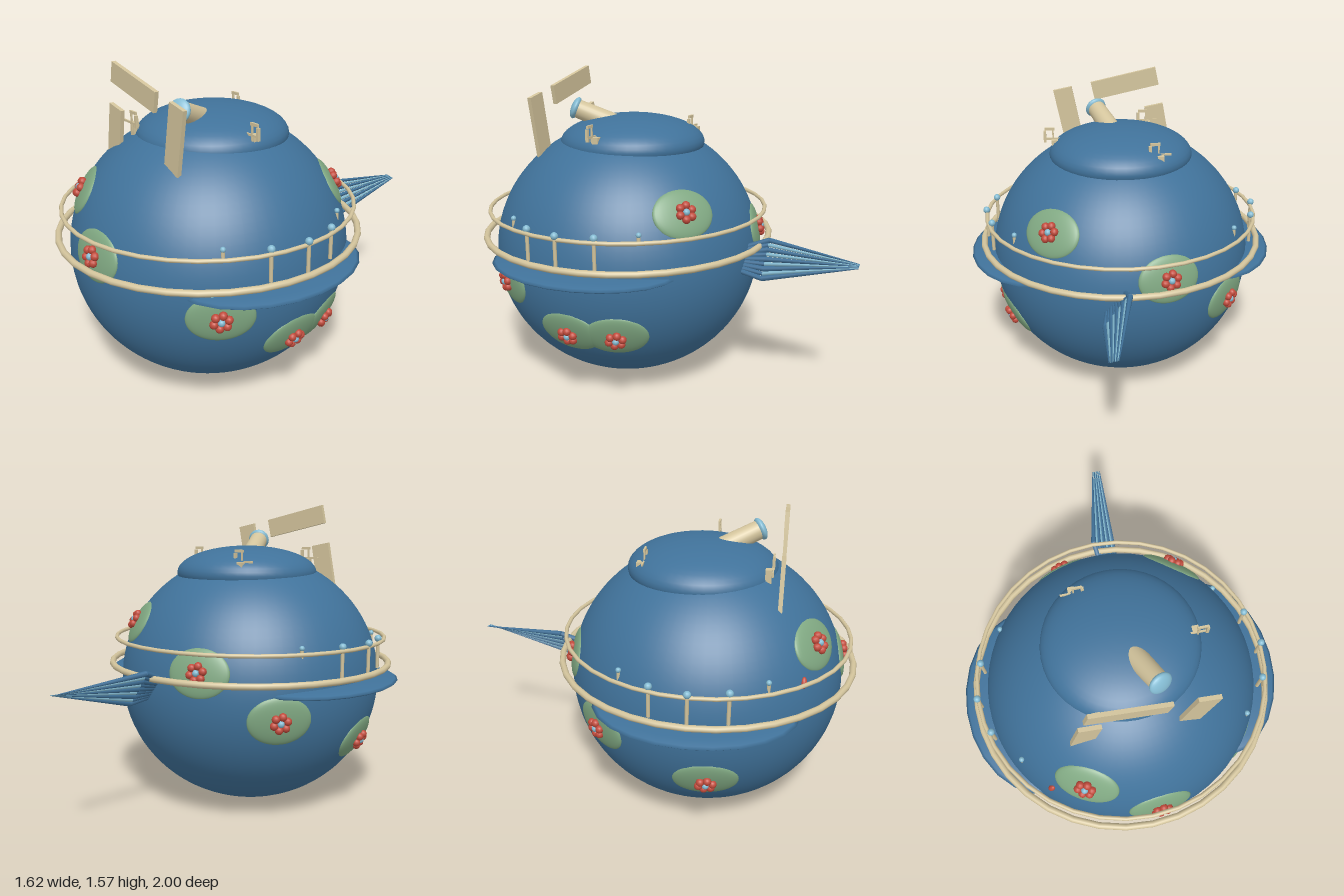
import * as THREE from 'three';

const mat = (name, color) => Object.assign(new THREE.MeshStandardMaterial({ color }), { name });

export function createModel() {
  const blue = mat('hull blue', 0x40729a);
  const green = mat('moss green', 0x80a882);
  const red = mat('berry red', 0xc24b3c);
  const cream = mat('cream', 0xd3c49c);
  const sky = mat('pale blue', 0x84bbd2);

  const model = new THREE.Group();
  model.name = 'floatingGlobe';
  const CZ = 0.24, R = 0.69, RY = 0.66;

  const add = (name, geo, material, x = 0, y = 0, z = 0, parent = model) => {
    const m = new THREE.Mesh(geo, material);
    m.name = name;
    m.position.set(x, y, z);
    parent.add(m);
    return m;
  };
  const ellipsoid = (rx, ry, rz, w = 24, h = 16) => new THREE.SphereGeometry(1, w, h).scale(rx, ry, rz);
  const box = (w, h, d) => new THREE.BoxGeometry(w, h, d);
  // Tapered rod from point a to point b
  const rod = (name, a, b, ra, rb, material, sides = 12) => {
    const va = new THREE.Vector3(...a), vb = new THREE.Vector3(...b);
    const dir = vb.clone().sub(va);
    const m = add(name, new THREE.CylinderGeometry(rb, ra, dir.length(), sides), material);
    m.position.copy(va).add(vb).multiplyScalar(0.5);
    m.quaternion.setFromUnitVectors(new THREE.Vector3(0, 1, 0), dir.normalize());
    return m;
  };

  // Hull and upper dome
  add('hull', ellipsoid(R, RY, R, 64, 48), blue, 0, RY, CZ);
  add('dome', ellipsoid(0.37, 0.14, 0.37, 48, 24), blue, 0, 1.22, 0.21);

  // Railing rings
  const ring = (name, r, t, y) => add(name, new THREE.TorusGeometry(r, t, 10, 36).rotateX(Math.PI / 2), cream, 0, y, CZ);
  ring('lowerRing', 0.742, 0.016, 0.75);
  ring('upperRail', 0.717, 0.01, 0.885);

  for (const s of [-1, 1]) {
    // Railing posts with bead tops
    for (const [x, dz, r] of [[0.72, 0, 0.018], [0.678, 0.177, 0.018], [0.678, -0.177, 0.018], [0.555, 0.337, 0.013], [0.555, -0.337, 0.013]]) {
      rod('railPost', [s * x, 0.75, CZ + dz], [s * x, 0.9, CZ + dz], 0.009, 0.009, cream, 8);
      add('railBead', ellipsoid(r, r, r, 12, 8), sky, s * x, 0.903, CZ + dz);
    }
    // Side fins
    add('sideFin', ellipsoid(0.36, 0.036, 0.49, 24, 12), blue, s * 0.45, 0.687, CZ);
  }

  // Green patches, each with a ring of berries; directions from the hull centre
  const patches = [
    [-0.29, 0.33, 0.555], [0.055, 0.13, 0.68], [0.58, -0.07, 0.37], [0.63, -0.265, 0],
    [0.59, -0.265, -0.23], [0.39, 0.33, -0.505], [-0.19, 0.13, -0.66],
    [-0.52, -0.094, -0.454], [-0.63, -0.265, 0.08],
  ];
  for (const [x, y, z] of patches) {
    const k = 1 / Math.hypot(x / R, y / RY, z / R);
    const p = new THREE.Vector3(x * k, y * k, z * k);
    const n = new THREE.Vector3(p.x / R ** 2, p.y / RY ** 2, p.z / R ** 2).normalize();
    const g = new THREE.Group();
    g.name = 'flowerPatch';
    g.position.copy(p).add(new THREE.Vector3(0, RY, CZ));
    g.lookAt(g.position.clone().add(n));
    model.add(g);
    add('patch', ellipsoid(0.155, 0.121, 0.031, 32, 24), green, 0, 0, -0.018, g);
    for (let i = 0; i < 6; i++) {
      const a = (i / 6) * Math.PI * 2 + 0.3;
      add('berry', ellipsoid(0.02, 0.02, 0.02, 12, 8), red, 0.034 * Math.cos(a), 0.034 * Math.sin(a), 0.018, g);
    }
    add('flowerCentre', ellipsoid(0.017, 0.017, 0.017, 12, 8), sky, 0, 0, 0.022, g);
  }
  const bud = add('bud', ellipsoid(0.015, 0.028, 0.015, 12, 8), red, -0.44, 0.855, 0.73);
  bud.rotation.z = -0.4;

  // Tail fan: blades widen from the hull, then run to fine tips
  const N = 9;
  for (let i = 0; i < N; i++) {
    const t = i / (N - 1), thin = i % 2;
    const root = [0.03 + 0.08 * t, 0.73 - 0.09 * t, -0.41];
    const mid = [0.015 + 0.115 * t, 0.782 - 0.16 * t, -0.545];
    const tip = [0.1 + 0.04 * t, 0.75 - 0.008 * t, -1];
    const r = thin ? 0.011 : 0.014, m = thin ? sky : blue;
    rod('tailRoot', root, mid, 0.013, r, blue, 6);
    rod('tailBlade', mid, tip, r, 0.002, m, 6);
  }

  // Flat panels standing in front of the dome
  for (const [x, y, len, wid, rot] of [
    [-0.053, 1.487, 0.365, 0.098, -0.215],
    [-0.247, 1.2, 0.33, 0.104, 1.38],
    [0.262, 1.313, 0.31, 0.104, 1.375],
  ]) add('panel', box(len, wid, 0.02), cream, x, y, 0.6).rotation.z = rot;

  // Telescope and its lens
  const lensAt = [0.115, 1.388, 0.475];
  const scope = rod('telescope', [0.03, 1.3, 0.28], lensAt, 0.052, 0.047, cream, 24);
  const lens = add('telescopeLens', ellipsoid(0.057, 0.024, 0.057), sky, ...lensAt);
  lens.quaternion.copy(scope.quaternion);

  // Small lantern brackets around the dome
  for (const [x, z] of [[-0.175, -0.07], [0.34, 0.23], [-0.175, 0.535]]) {
    const g = new THREE.Group();
    g.name = 'lanternBracket';
    g.position.set(x, 1.25, z);
    model.add(g);
    add('bracketBase', box(0.032, 0.065, 0.03), cream, 0, 0.005, 0, g);
    add('lowerBar', box(0.11, 0.01, 0.008), cream, 0, 0.038, 0.02, g);
    add('upright', box(0.008, 0.1, 0.008), cream, 0.008, 0.045, 0.02, g);
    add('upperArm', box(0.05, 0.014, 0.01), cream, 0.025, 0.09, 0.02, g);
    add('lantern', box(0.014, 0.06, 0.014), cream, 0.05, 0.05, 0.02, g);
  }

  return model;
}
